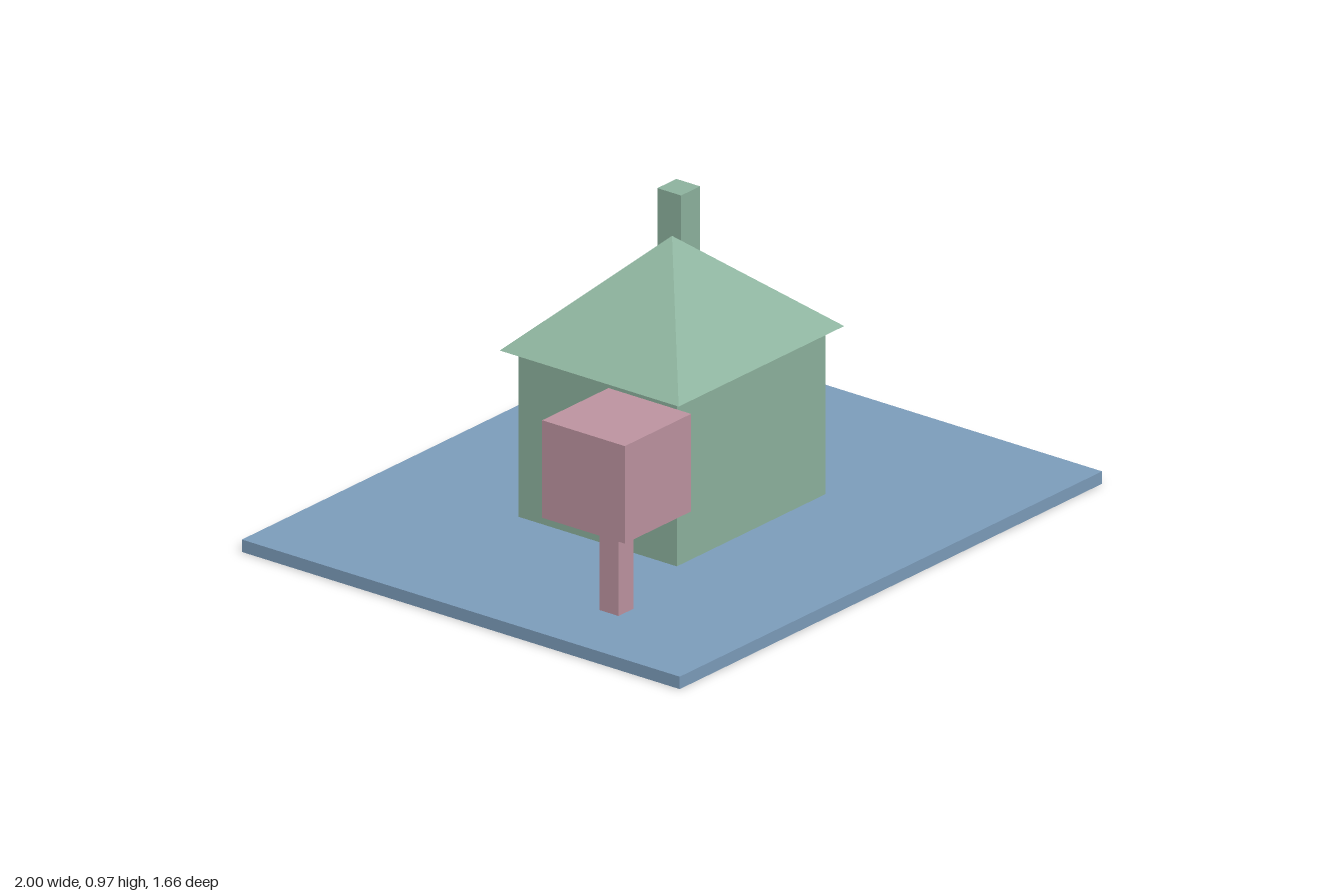
import * as THREE from 'three';

const green = new THREE.MeshStandardMaterial({ name: 'house green', color: 0x8fb5a0 });
const pink = new THREE.MeshStandardMaterial({ name: 'tree pink', color: 0xc096a3 });
const blue = new THREE.MeshStandardMaterial({ name: 'ground blue', color: 0x7e9fbe });

// Box given by its size, the centre of its footprint and the height of its underside
function box(name, material, [w, h, d], [x, bottom, z]) {
  const mesh = new THREE.Mesh(new THREE.BoxGeometry(w, h, d), material);
  mesh.name = name;
  mesh.position.set(x, bottom + h / 2, z);
  return mesh;
}

// Four-sided pyramid with flat faces and a closed underside
function pyramid(name, material, [w, h, d], [x, bottom, z]) {
  const geometry = new THREE.ConeGeometry(Math.SQRT1_2, 1, 4)
    .rotateY(Math.PI / 4)
    .scale(w, h, d)
    .toNonIndexed();
  geometry.computeVertexNormals();
  const mesh = new THREE.Mesh(geometry, material);
  mesh.name = name;
  mesh.position.set(x, bottom + h / 2, z);
  return mesh;
}

export function createModel() {
  const model = new THREE.Group();
  model.name = 'house with tree';

  // Ground slab
  const top = 0.04;
  model.add(box('ground', blue, [2, top, 1.664], [0, 0, 0]));

  // House: walls, overhanging hipped roof and chimney
  const house = new THREE.Group();
  house.name = 'house';
  house.add(
    box('walls', green, [0.704, 0.538, 0.602], [0, top, 0]),
    pyramid('roof', green, [0.784, 0.33, 0.68], [0, 0.578, 0]),
    box('chimney', green, [0.09, 0.34, 0.09], [0.19, 0.628, -0.127])
  );
  model.add(house);

  // Tree: square trunk with a cubic crown
  const tree = new THREE.Group();
  tree.name = 'tree';
  tree.add(
    box('trunk', pink, [0.072, 0.305, 0.072], [-0.718, top, 0.366]),
    box('crown', pink, [0.314, 0.314, 0.314], [-0.718, 0.345, 0.366])
  );
  model.add(tree);

  return model;
}
